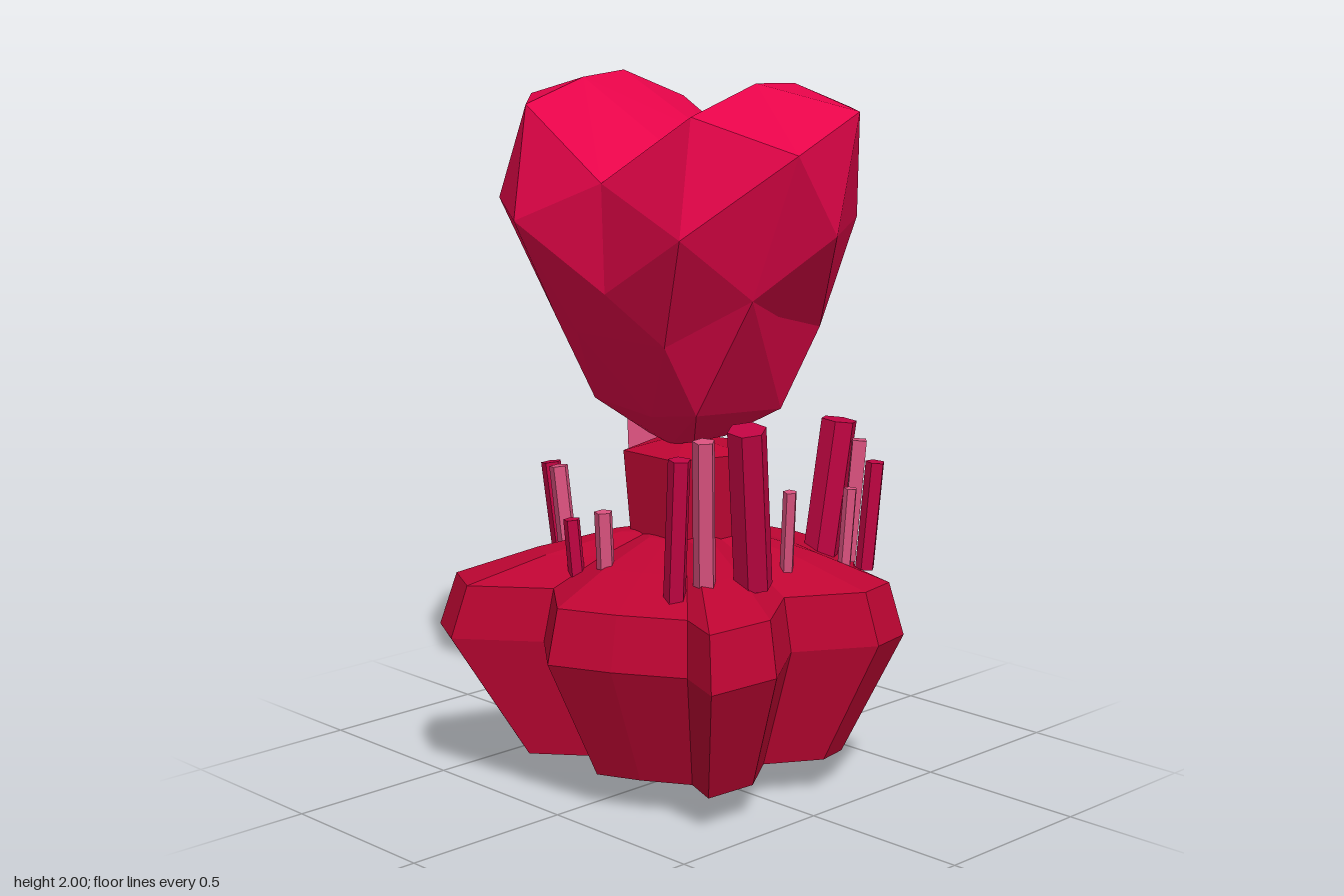
import * as THREE from 'three';
import { ConvexGeometry } from 'three/addons/geometries/ConvexGeometry.js';

const mat = (name, color) => new THREE.MeshStandardMaterial({ name, color, flatShading: true });
const hull = (points) => new ConvexGeometry(points.map((p) => new THREE.Vector3(...p)));

// Rings of [x, z] corners stacked along y, open below and closed by a fan on top
function loftRings(outline, rings, topY) {
  const pos = [], idx = [], n = outline.length;
  for (const [y, s, dz] of rings) for (const [x, z] of outline) pos.push(x * s, y, z * s + dz);
  for (let r = 0; r < rings.length - 1; r++) {
    for (let i = 0; i < n; i++) {
      const a = r * n + i, b = r * n + (i + 1) % n;
      idx.push(a, b, b + n, a, b + n, a + n);
    }
  }
  const apex = pos.length / 3, last = (rings.length - 1) * n;
  pos.push(0, topY, 0);
  for (let i = 0; i < n; i++) idx.push(apex, last + i, last + (i + 1) % n);
  const g = new THREE.BufferGeometry();
  g.setAttribute('position', new THREE.Float32BufferAttribute(pos, 3));
  g.setIndex(idx);
  g.computeVertexNormals();
  return g;
}

export function createModel() {
  const model = new THREE.Group();
  const heartRed = mat('heart crimson', 0xe60449);
  const rockRed = mat('rock red', 0xbd0532);
  rockRed.side = THREE.DoubleSide;
  const crystalRed = mat('crystal crimson', 0xc00442);
  const crystalPink = mat('crystal pink', 0xdb527f);
  const add = (name, geo, material, parent = model) => {
    const m = new THREE.Mesh(geo, material);
    m.name = name;
    parent.add(m);
    return m;
  };

  // Heart: two lobes meeting in the middle, each a broad top over a narrower taper
  const waist = [
    [-0.16, 1.44, 0.41], [0.21, 1.32, 0.31], [-0.02, 1.3, 0.3],
    [-0.26, 1.3, 0.18], [0.25, 1.3, 0.18], [-0.25, 1.3, 0], [0.25, 1.3, 0],
  ];
  const upper = [
    [-0.09, 2, 0.35], [0.11, 1.99, 0.3], [0.28, 1.92, 0.35], [-0.28, 1.92, 0.3],
    [0.07, 1.93, 0.57], [-0.16, 1.83, 0.57], [-0.36, 1.61, 0.34], [0.38, 1.61, 0.29],
    [0.1, 1.83, 0], [-0.1, 1.83, 0], [0.32, 1.73, 0], [-0.32, 1.73, 0],
    [0.31, 1.43, 0], [-0.31, 1.43, 0], ...waist,
  ];
  const taper = hull([
    ...waist, [-0.15, 1.1, 0.19], [0.13, 1.09, 0.24], [0.14, 1.07, 0], [-0.14, 1.07, 0],
    [0.06, 1, 0.09], [-0.06, 1, 0.09], [0.06, 0.98, 0], [-0.06, 0.98, 0],
  ]);
  const heart = new THREE.Group();
  heart.name = 'heart';
  model.add(heart);
  const addLobe = (name, bulge, turn) => {
    const lobe = new THREE.Group();
    lobe.name = name;
    lobe.rotation.y = turn;
    heart.add(lobe);
    add(name + 'Top', hull([...upper, bulge]), heartRed, lobe);
    add(name + 'Taper', taper, heartRed, lobe);
  };
  addLobe('frontLobe', [0, 1.61, 0.56], 0);
  addLobe('backLobe', [0.2, 1.64, 0.565], Math.PI);

  // Rock: one lobed outline repeated at several heights
  const outline = [
    [0.58, 0.155], [0.49, -0.045], [0.34, -0.17], [0.42, -0.31], [0.25, -0.45],
    [0, -0.36], [-0.28, -0.41], [-0.51, -0.487], [-0.585, -0.345], [-0.42, -0.14],
    [-0.555, 0.03], [-0.48, 0.2], [-0.37, 0.38], [-0.43, 0.53], [-0.2, 0.545],
    [0, 0.41], [0.215, 0.54], [0.35, 0.515], [0.41, 0.32],
  ];
  const rings = [[0.1, 0.7, 0.02], [0.45, 1, 0], [0.6, 0.93, 0], [0.675, 0.6, 0], [0.73, 0.28, 0]];
  add('rock', loftRings(outline, rings, 0.74), rockRed);

  // Five-sided column running through the rock, wider towards the top
  const column = new THREE.Group();
  column.name = 'column';
  column.rotation.y = Math.PI / 2;
  model.add(column);
  add('columnShaft', new THREE.CylinderGeometry(0.18, 0.102, 0.96, 5, 1, true), rockRed, column).position.y = 0.48;
  add('columnCap', new THREE.CylinderGeometry(0.06, 0.18, 0.03, 5), rockRed, column).position.y = 0.975;

  // Crystals: base point, tip point, radius, sides
  const up = new THREE.Vector3(0, 1, 0);
  const crystals = new THREE.Group();
  crystals.name = 'crystals';
  model.add(crystals);
  const crystal = (base, tip, radius, sides, material) => {
    const a = new THREE.Vector3(...base), b = new THREE.Vector3(...tip);
    const dir = b.clone().sub(a);
    const m = add('crystal', new THREE.CylinderGeometry(radius, radius, dir.length(), sides), material, crystals);
    m.position.copy(a).add(b).multiplyScalar(0.5);
    m.quaternion.setFromUnitVectors(up, dir.normalize());
  };
  const reds = [
    [[-0.1, 0.65, 0.36], [-0.18, 1.1, 0.41], 0.054, 6],
    [[-0.3, 0.62, 0.26], [-0.31, 1.02, 0.29], 0.032, 5],
    [[0.345, 0.63, 0.2], [0.39, 1.02, 0.225], 0.053, 6],
    [[0.335, 0.62, 0.38], [0.35, 0.93, 0.4], 0.028, 5],
    [[0.21, 0.65, -0.21], [0.22, 0.835, -0.225], 0.034, 5],
    [[-0.14, 0.59, -0.37], [-0.15, 0.88, -0.41], 0.03, 5],
    [[-0.32, 0.62, -0.11], [-0.33, 0.79, -0.12], 0.024, 5],
  ];
  const pinks = [
    [[-0.235, 0.63, 0.31], [-0.265, 1.07, 0.335], 0.032, 5],
    [[0.34, 0.63, 0.31], [0.365, 0.98, 0.325], 0.028, 4],
    [[0.165, 0.61, -0.34], [0.185, 1.145, -0.385], 0.062, 4],
    [[0.27, 0.64, 0.36], [0.28, 0.86, 0.37], 0.02, 5],
    [[0.075, 0.65, 0.32], [0.065, 0.88, 0.34], 0.02, 5],
    [[-0.31, 0.63, 0], [-0.32, 0.83, 0], 0.026, 5],
    [[-0.2, 0.66, 0.165], [-0.21, 0.9, 0.175], 0.022, 5],
    [[-0.19, 0.62, -0.29], [-0.2, 0.89, -0.32], 0.028, 5],
  ];
  for (const c of reds) crystal(...c, crystalRed);
  for (const c of pinks) crystal(...c, crystalPink);

  return model;
}
